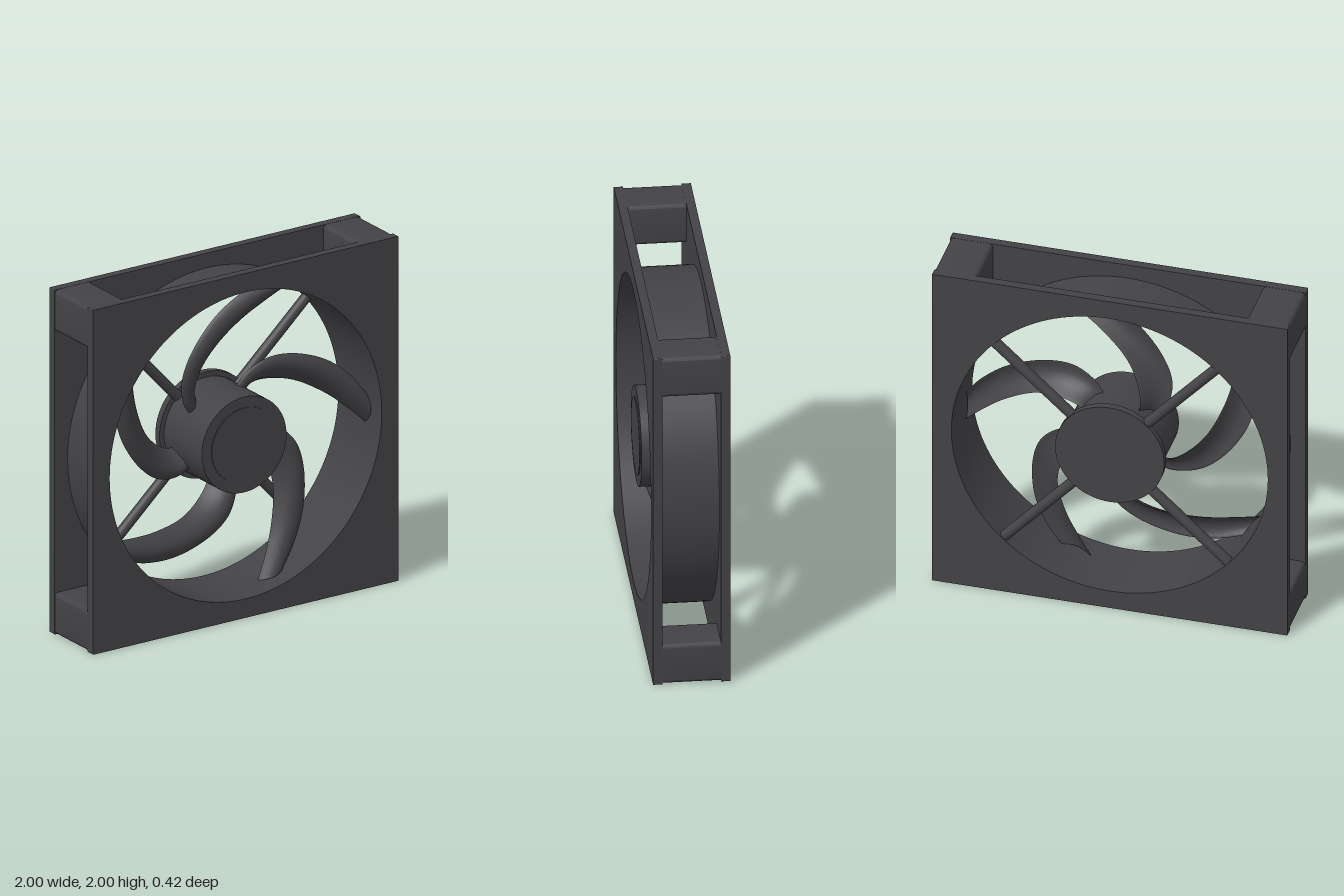
import * as THREE from 'three';
import { toCreasedNormals } from 'three/addons/utils/BufferGeometryUtils.js';

const plastic = new THREE.MeshStandardMaterial({ color: 0x434246 });
plastic.name = 'charcoal plastic';

function part(name, geometry, parent) {
  const mesh = new THREE.Mesh(geometry, plastic);
  mesh.name = name;
  parent.add(mesh);
  return mesh;
}

function roundedSquare(cx, cy, half, r) {
  const s = new THREE.Shape();
  const h = half - r;
  s.absarc(cx + h, cy + h, r, 0, Math.PI / 2);
  s.absarc(cx - h, cy + h, r, Math.PI / 2, Math.PI);
  s.absarc(cx - h, cy - h, r, Math.PI, Math.PI * 1.5);
  s.absarc(cx + h, cy - h, r, Math.PI * 1.5, Math.PI * 2);
  s.closePath();
  return s;
}

function circlePath(r, Type) {
  const p = new Type();
  p.absarc(0, 0, r, 0, Math.PI * 2);
  return p;
}

// Extrude a shape between two z planes, smooth round the curves
function slab(shape, z0, z1, curveSegments = 72) {
  const g = new THREE.ExtrudeGeometry(shape, { depth: z1 - z0, bevelEnabled: false, curveSegments });
  g.translate(0, 0, z0);
  return toCreasedNormals(g, 0.6);
}

// Cylinder along z
function disc(r, z0, z1) {
  const g = new THREE.CylinderGeometry(r, r, z1 - z0, 72);
  g.rotateX(Math.PI / 2);
  g.translate(0, 0, (z0 + z1) / 2);
  return g;
}

// Swept, arched blade: a closed thin section swept from root to tip
function bladeGeometry() {
  const curve = (pts) => new THREE.CatmullRomCurve3(pts.map((p) => new THREE.Vector3(...p)));
  const convex = curve([
    [-0.19, 0.13, -0.02], [-0.265, 0.23, 0], [-0.29, 0.37, 0.02], [-0.24, 0.52, 0.03],
    [-0.1, 0.7, 0.04], [0.06, 0.81, 0.05], [0.2, 0.865, 0.06],
  ]);
  const concave = curve([
    [-0.12, 0.2, -0.11], [-0.14, 0.27, -0.1], [-0.12, 0.38, -0.07], [-0.05, 0.51, -0.03],
    [0.1, 0.65, 0.01], [0.24, 0.74, 0.04], [0.365, 0.808, 0.06],
  ]);
  const rows = 36, half = 10, ring = half * 2;
  const pos = [], index = [];
  for (let i = 0; i <= rows; i++) {
    const t = i / rows;
    const a = convex.getPoint(t), b = concave.getPoint(t);
    for (let j = 0; j < ring; j++) {
      const angle = (j / half) * Math.PI;
      const u = 0.5 - 0.5 * Math.cos(angle);
      const p = a.clone().lerp(b, u);
      const arch = 0.045 * 4 * u * (1 - u);
      pos.push(p.x, p.y, p.z + arch + 0.012 * Math.sin(angle));
    }
  }
  for (let i = 0; i < rows; i++) {
    for (let j = 0; j < ring; j++) {
      const k = (j + 1) % ring;
      const p = i * ring + j, q = i * ring + k;
      index.push(p, q, p + ring, q, q + ring, p + ring);
    }
  }
  // Tip cap, joining the front and back of the section
  const tip = rows * ring;
  for (let j = 0; j < half; j++) {
    const p = tip + j, q = tip + j + 1;
    const r = tip + ((ring - j) % ring), s = tip + ring - j - 1;
    index.push(p, q, s);
    if (j > 0) index.push(p, s, r);
  }
  const g = new THREE.BufferGeometry();
  g.setAttribute('position', new THREE.Float32BufferAttribute(pos, 3));
  g.setIndex(index);
  return toCreasedNormals(g, 0.8);
}

export function createModel() {
  const model = new THREE.Group();
  model.name = 'coolingFan';
  const fan = new THREE.Group();
  fan.name = 'fanAssembly';
  fan.position.y = 1;
  model.add(fan);

  // Square frame: two flanges, round duct and four corner posts
  const frame = new THREE.Group();
  frame.name = 'frame';
  fan.add(frame);
  const plate = roundedSquare(0, 0, 1, 0.004);
  plate.holes.push(circlePath(0.89, THREE.Path));
  part('frontFlange', slab(plate, 0.16, 0.21), frame);
  part('backFlange', slab(plate, -0.21, -0.16), frame);
  const duct = circlePath(0.915, THREE.Shape);
  duct.holes.push(circlePath(0.89, THREE.Path));
  part('duct', slab(duct, -0.16, 0.16), frame);
  for (const x of [-1, 1]) {
    for (const y of [-1, 1]) {
      part('cornerPost', slab(roundedSquare(x * 0.879, y * 0.879, 0.12, 0.025), -0.16, 0.16, 8), frame);
    }
  }

  // Motor mount and its four struts at the back
  const mount = new THREE.Group();
  mount.name = 'motorMount';
  fan.add(mount);
  part('mountDisc', disc(0.307, -0.21, -0.17), mount);
  for (let i = 0; i < 4; i++) {
    const strut = new THREE.CylinderGeometry(0.03, 0.03, 0.65, 20);
    strut.rotateZ(Math.PI / 2);
    strut.translate(0.575, 0, -0.175);
    strut.rotateZ(0.74 + (i * Math.PI) / 2);
    part('strut', strut, mount);
  }

  // Rotor: hub, raised face and five swept blades
  const rotor = new THREE.Group();
  rotor.name = 'rotor';
  fan.add(rotor);
  part('hub', disc(0.277, -0.18, 0.195), rotor);
  part('hubFace', disc(0.215, 0.19, 0.2), rotor);
  const blade = bladeGeometry();
  for (let i = 0; i < 5; i++) {
    part('blade', blade, rotor).rotation.z = (i * Math.PI * 2) / 5;
  }
  return model;
}
